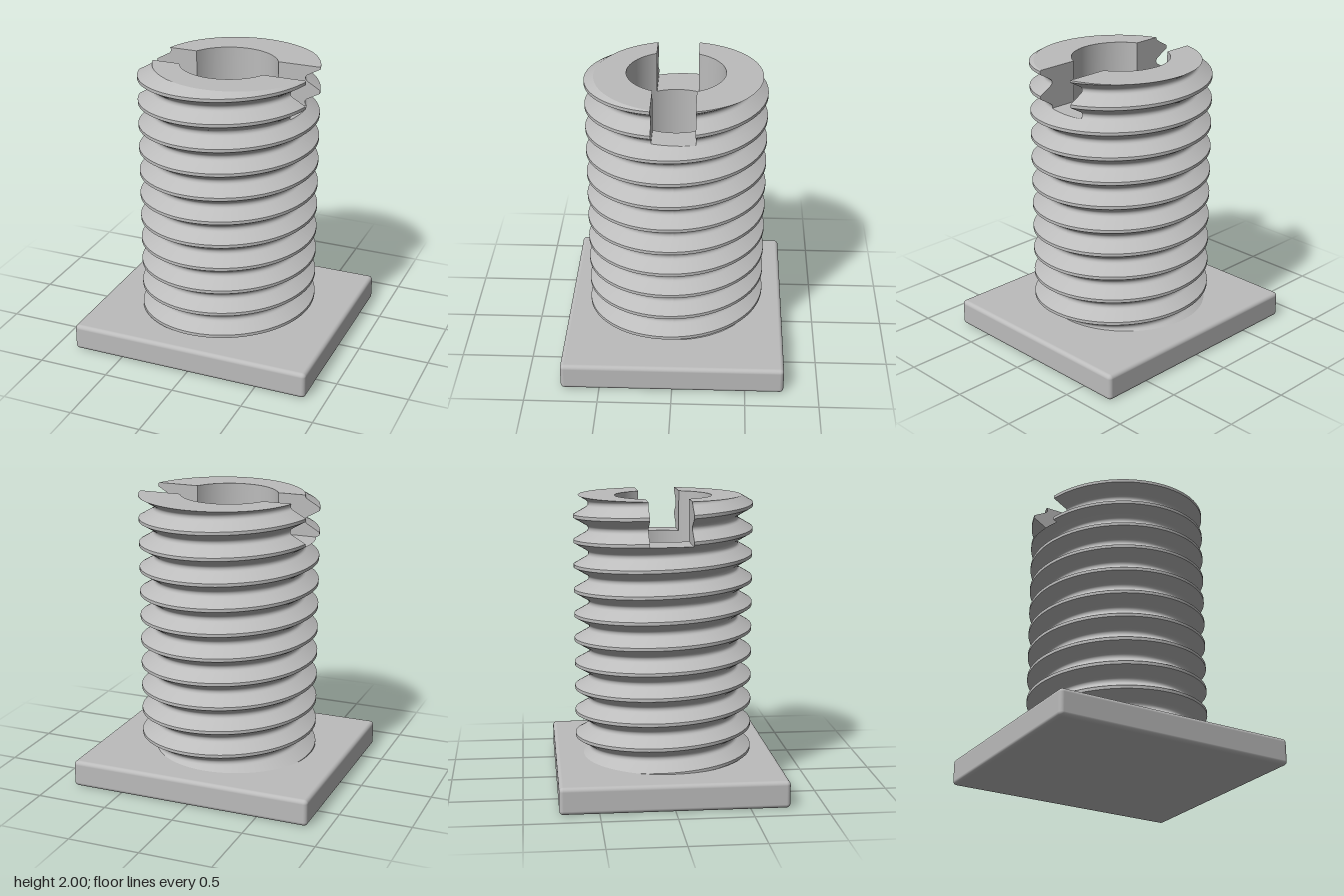
import * as THREE from 'three';
import { mergeGeometries } from 'three/addons/utils/BufferGeometryUtils.js';
import { RoundedBoxGeometry } from 'three/addons/geometries/RoundedBoxGeometry.js';

const TAU = Math.PI * 2;
const PITCH = 0.172, CREST = 0.098;           // thread pitch, height of first crest at +x
const BORE = 0.335, SLOT = 0.145;             // bore radius, half width of slot
const Y_BASE = 0.18, Y_SLOT = 1.715, Y_TOP = 2;

// One pitch of the thread: [height from crest centre, radius]
const crest = [[-0.011, 0.62], [0.011, 0.62]];
const valley = [[0.011, 0.62], [0.062, 0.533], [0.07, 0.523], [0.078, 0.519], [0.086, 0.518],
  [0.094, 0.519], [0.102, 0.523], [0.11, 0.533], [0.161, 0.62]];

function threadRadius(s) {
  let t = (s - CREST) % PITCH;
  if (t < 0) t += PITCH;
  for (let i = 1; i < valley.length; i++) {
    const [t0, r0] = valley[i - 1], [t1, r1] = valley[i];
    if (t >= t0 && t <= t1) return r0 + (r1 - r0) * (t - t0) / (t1 - t0);
  }
  return 0.62;
}

const polar = (a, r, y) => [Math.cos(a) * r, y, -Math.sin(a) * r];

// Grid surface facing along (i direction) x (j direction), without collapsed triangles
function patch(ni, nj, f) {
  const pts = [], index = [];
  for (let j = 0; j <= nj; j++) for (let i = 0; i <= ni; i++) pts.push(new THREE.Vector3(...f(i, j)));
  const tri = (a, b, c) => {
    if (new THREE.Triangle(pts[a], pts[b], pts[c]).getArea() > 1e-9) index.push(a, b, c);
  };
  for (let j = 0; j < nj; j++) for (let i = 0; i < ni; i++) {
    const a = j * (ni + 1) + i, b = a + 1, c = a + ni + 1, d = c + 1;
    tri(a, b, d);
    tri(a, d, c);
  }
  const g = new THREE.BufferGeometry().setFromPoints(pts);
  g.setIndex(index);
  g.computeVertexNormals();
  return g;
}

// Threaded tube between two heights; angle(u, r) gives the sweep at radius r
function threadedSection(y0, y1, n, angle, halved) {
  const parts = [];
  const outer = (u, s) => {
    let r = threadRadius(s), a, y;
    for (let k = 0; k < 5; k++) {
      a = angle(u, r);
      y = THREE.MathUtils.clamp(s + PITCH * a / TAU, y0, y1);
      r = threadRadius(y - PITCH * a / TAU);
    }
    return polar(a, r, y);
  };
  const inner = (u, y) => polar(angle(u, BORE), BORE, y);

  // helical crests and valleys
  for (let k = -1; k <= 12; k++) for (const band of [crest, valley]) {
    const at = j => CREST + k * PITCH + band[j][0];
    if (at(band.length - 1) + PITCH < y0 || at(0) > y1) continue;
    parts.push(patch(n, band.length - 1, (i, j) => outer(i / n, at(j))));
    // slot walls follow the thread outline
    if (halved) for (const u of [0, 1]) {
      parts.push(patch(1, band.length - 1, (i, j) => {
        const p = outer(u, at(j));
        return i === u ? inner(u, p[1]) : p;
      }));
    }
  }
  // top face and bore wall
  parts.push(patch(n, 1, (i, j) => j ? inner(i / n, y1) : outer(i / n, 9)));
  parts.push(patch(n, 1, (i, j) => inner(1 - i / n, j ? y1 : y0)));
  return mergeGeometries(parts.filter(g => g.index.count > 0));
}

export function createModel() {
  const group = new THREE.Group();
  const steel = new THREE.MeshStandardMaterial({ color: 0xbcbcbc });
  steel.name = 'plain grey';
  const add = (name, geometry) => {
    const mesh = new THREE.Mesh(geometry, steel);
    mesh.name = name;
    group.add(mesh);
    return mesh;
  };

  // base plate with softened edges
  add('basePlate', new RoundedBoxGeometry(1.72, 0.185, 1.53, 4, 0.028)).position.y = 0.0925;

  // threaded shaft below the slot
  add('threadedShaft', threadedSection(Y_BASE, Y_SLOT, 128, u => u * TAU, false));

  // two halves either side of the slot
  ['backHalf', 'frontHalf'].forEach((name, k) => {
    const angle = (u, r) => {
      const a = Math.asin(SLOT / r);
      return k * Math.PI + a + u * (Math.PI - 2 * a);
    };
    add(name, threadedSection(Y_SLOT, Y_TOP, 64, angle, true));
  });
  return group;
}
